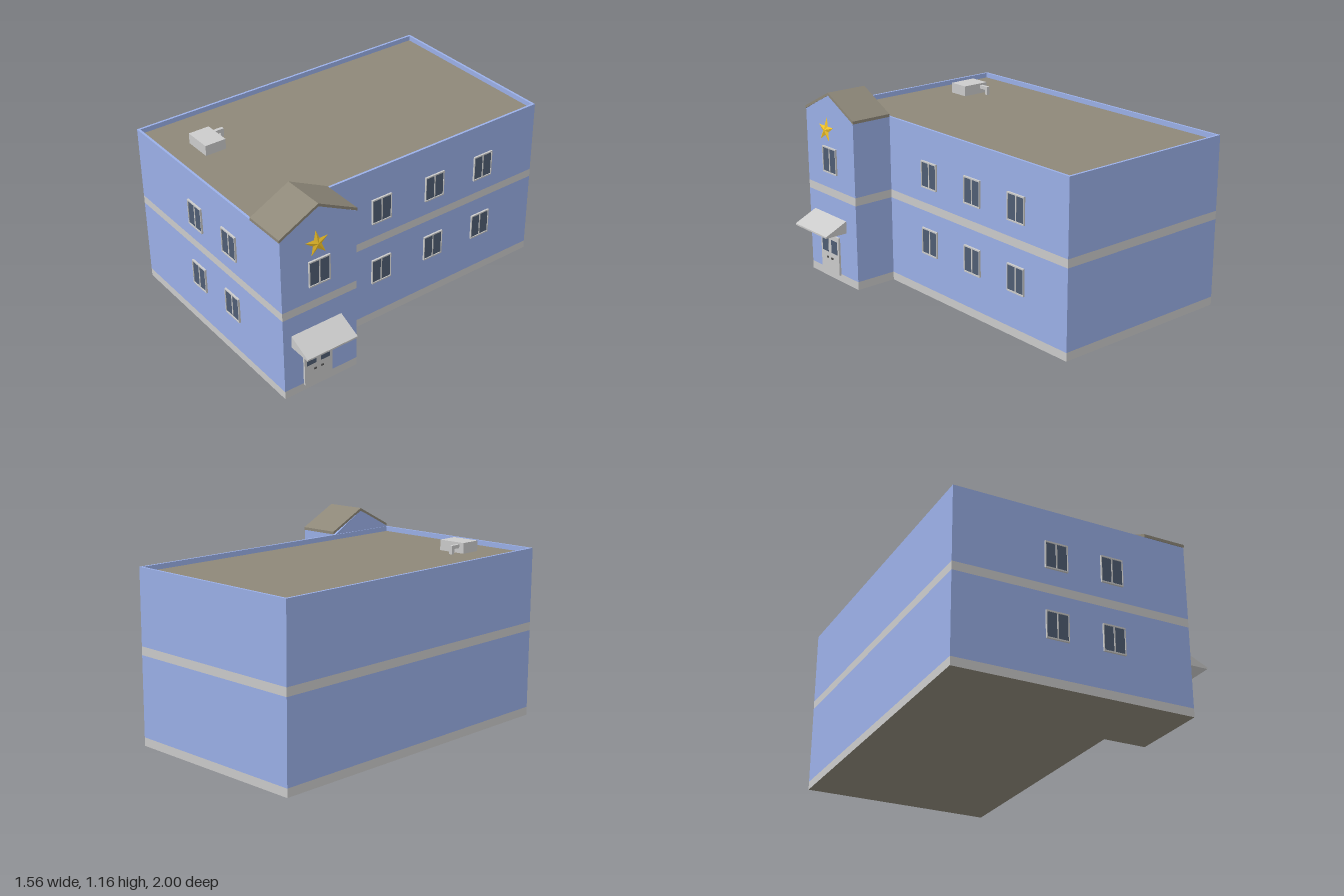
import * as THREE from 'three';

const mat = (color) => new THREE.MeshStandardMaterial({ color, flatShading: true });
const grey = mat(0xcccccc), blue = mat(0x9bb0e8), roofMat = mat(0x8e8879);
const glass = mat(0x4f5d74), gold = mat(0xf2c42c), dark = mat(0x555555);

// Overall plan of the building
const L = -0.78, R = 0.375, TOWER = 0.635, BACK = -1, FRONT = 0.99, TZ = 0.51;
const ROOF = 0.99, TOP = 1.02, RIDGE_Z = 0.75;

const poly = (pts) => new THREE.Shape(pts.map(([x, y]) => new THREE.Vector2(x, y)));
const extrude = (shape, depth) => new THREE.ExtrudeGeometry(shape, { depth, bevelEnabled: false });

function add(parent, name, geo, material, x = 0, y = 0, z = 0) {
  const m = new THREE.Mesh(geo, material);
  m.name = name;
  m.position.set(x, y, z);
  parent.add(m);
  return m;
}

function box(parent, name, material, x0, x1, y0, y1, z0, z1) {
  return add(parent, name, new THREE.BoxGeometry(x1 - x0, y1 - y0, z1 - z0), material,
    (x0 + x1) / 2, (y0 + y1) / 2, (z0 + z1) / 2);
}

// Plan given as [x, z], raised from y0 to y1
const raise = (shape, y0, y1) => extrude(shape, y1 - y0).rotateX(-Math.PI / 2).translate(0, y0, 0);

// Profile given as [z, y], swept along x
const sweepX = (pts, x0, x1) =>
  extrude(poly(pts.map(([z, y]) => [-z, y])), x1 - x0).rotateY(Math.PI / 2).translate(x0, 0, 0);

// Two-pane window facing +z, centred on its origin
function makeWindow(w, h) {
  const g = new THREE.Group();
  g.name = 'window';
  const d = 0.011, a = w / 2, b = h / 2;
  box(g, 'glass', glass, -a + 0.003, a - 0.003, -b + 0.003, b - 0.003, 0, 0.006);
  for (const s of [-1, 1]) {
    add(g, 'sideFrame', new THREE.BoxGeometry(0.005, h, d), grey, s * (a - 0.0025), 0, d / 2);
    add(g, 'crossFrame', new THREE.BoxGeometry(w, 0.008, d), grey, 0, s * (b - 0.004), d / 2);
  }
  add(g, 'mullion', new THREE.BoxGeometry(0.008, h, d - 0.002), grey, 0, 0, (d - 0.002) / 2);
  return g;
}

// Faceted five-pointed star with a raised centre on both sides
function starGeometry(r, inner, depth) {
  const v = [];
  const pt = (i) => {
    const a = Math.PI / 2 + i * Math.PI / 5, q = i % 2 ? inner : r;
    return [q * Math.cos(a), q * Math.sin(a), 0];
  };
  for (let i = 0; i < 10; i++) {
    v.push(0, 0, depth, ...pt(i), ...pt(i + 1));
    v.push(0, 0, -depth, ...pt(i + 1), ...pt(i));
  }
  const geo = new THREE.BufferGeometry();
  geo.setAttribute('position', new THREE.Float32BufferAttribute(v, 3));
  geo.computeVertexNormals();
  return geo;
}

export function createModel() {
  const model = new THREE.Group();
  model.name = 'building';

  // Stacked wall layers over an L-shaped plan; the last cap is the flat roof
  const plan = poly([[L, -FRONT], [TOWER, -FRONT], [TOWER, -TZ], [R, -TZ], [R, -BACK], [L, -BACK]]);
  const layers = [
    ['plinth', grey, 0, 0.05], ['lowerWalls', blue, 0.05, 0.525],
    ['floorBand', grey, 0.525, 0.575], ['upperWalls', blue, 0.575, ROOF],
  ];
  for (const [name, m, y0, y1] of layers) add(model, name, raise(plan, y0, y1), [roofMat, m]);

  // Parapet around the flat roof
  const t = 0.014;
  const rim = poly([[L, -FRONT], [R, -FRONT], [R, -BACK], [L, -BACK]]);
  rim.holes.push(poly([[L + t, -FRONT + t], [L + t, -BACK - t], [R - t, -BACK - t], [R - t, -FRONT + t]]));
  add(model, 'parapet', raise(rim, ROOF, TOP), blue);

  // Gable of the entrance tower, its inner end leaning slightly
  const gable = sweepX([[FRONT, ROOF], [FRONT, TOP], [RIDGE_Z, 1.145], [TZ, TOP], [TZ, ROOF]], 0.365, TOWER);
  const p = gable.attributes.position;
  for (let i = 0; i < p.count; i++) {
    if (p.getX(i) < 0.5) p.setX(i, 0.365 + 0.015 * Math.max(0, (p.getY(i) - TOP) / 0.125));
  }
  gable.computeVertexNormals();
  add(model, 'gable', gable, blue);
  add(model, 'gableRoof', sweepX([
    [FRONT + 0.004, TOP], [FRONT + 0.004, 1.037], [RIDGE_Z, 1.16], [TZ - 0.004, 1.037],
    [TZ - 0.004, TOP], [RIDGE_Z, 1.143],
  ], 0.378, TOWER + 0.002), roofMat);

  // Windows on the front, the right side and the tower
  const place = (x, y, z, turn) => {
    const w = makeWindow(0.135, 0.16);
    w.position.set(x, y, z);
    w.rotation.y = turn;
    model.add(w);
  };
  for (const y of [0.343, 0.748]) {
    for (const x of [-0.182, 0.156]) place(x, y, FRONT, 0);
    for (const z of [0.14, -0.24, -0.603]) place(R, y, z, Math.PI / 2);
  }
  place(TOWER, 0.75, 0.753, Math.PI / 2);

  // Double door with panes and handles
  const door = new THREE.Group();
  door.name = 'door';
  model.add(door);
  box(door, 'doorPanel', grey, TOWER, 0.648, 0.04, 0.28, 0.685, 0.868);
  for (const s of [-1, 1]) {
    const z = 0.777 + s * 0.046;
    box(door, 'doorPane', glass, 0.64, 0.6495, 0.167, 0.25, z - 0.03, z + 0.03);
    const h = 0.777 + s * 0.023;
    box(door, 'doorHandle', dark, 0.645, 0.654, 0.127, 0.137, h - 0.008, h + 0.008);
  }

  // Sloping canopy over the door
  add(model, 'canopy', extrude(poly([[TOWER, 0.33], [0.78, 0.33], [0.78, 0.34], [TOWER, 0.405]]), 0.325),
    grey, 0, 0, 0.613);

  // Star leaning out from the gable
  const star = add(model, 'star', starGeometry(0.076, 0.029, 0.012).rotateX(-0.15), gold, 0.648, 0.934, 0.77);
  star.rotation.y = Math.PI / 2;

  // Roof vent with a bent pipe
  const vent = new THREE.Group();
  vent.name = 'roofVent';
  model.add(vent);
  box(vent, 'ventBox', grey, -0.512, -0.337, ROOF, 1.053, 0.68, 0.81);
  box(vent, 'ventPipe', grey, -0.481, -0.46, 1.02, 1.041, 0.614, 0.68);
  box(vent, 'ventPipeEnd', grey, -0.481, -0.46, ROOF, 1.02, 0.614, 0.635);

  return model;
}
